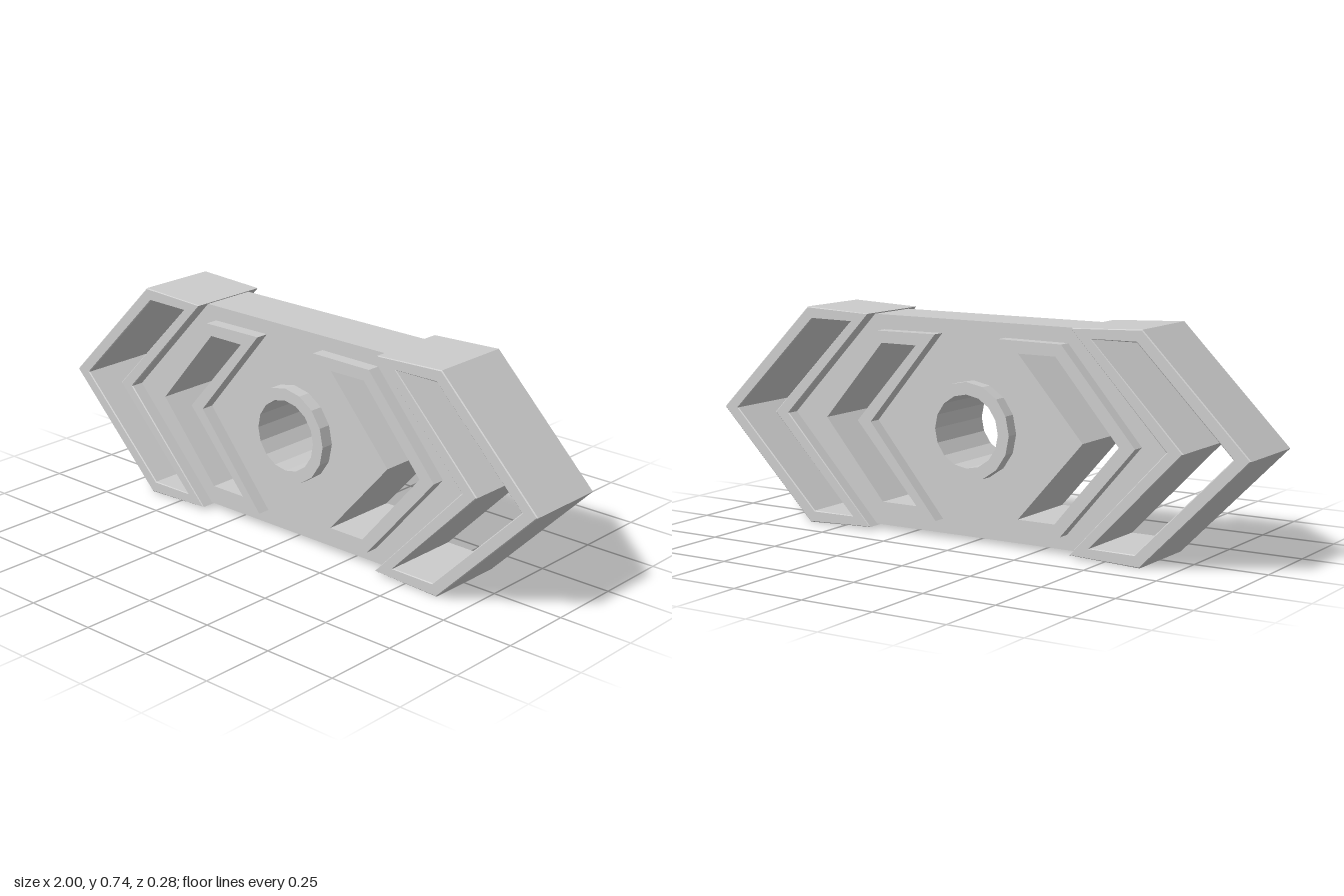
import * as THREE from 'three';

const MID = 0.3675; // height of the horizontal symmetry line
const material = new THREE.MeshStandardMaterial({ color: 0xcccccc, flatShading: true });

// Points are [x, height above the mid line]
const circle = (r, sides = 16) =>
  Array.from({ length: sides }, (_, i) => {
    const a = (i / sides) * Math.PI * 2;
    return [r * Math.cos(a), r * Math.sin(a)];
  });

// Closed chevron outline: inner and outer upper corners, outer tip, mirrored lower corners, inner tip
function chevron(inner, outer, outerTip, innerTip, side) {
  const pts = [inner, outer, [outerTip, 0], [outer[0], -outer[1]], [inner[0], -inner[1]], [innerTip, 0]];
  return pts.map(([x, y]) => [x * side, y]);
}

// Counter-clockwise points, so that every extruded wall faces outward
function loop(pts) {
  const points = pts.map(([x, y]) => new THREE.Vector2(x, y));
  return THREE.ShapeUtils.isClockWise(points) ? points.reverse() : points;
}

// Plate with openings, extruded equally to the front and the back
function slab(name, outline, holes, halfDepth, bevel = 0) {
  const shape = new THREE.Shape(loop(outline));
  shape.holes = holes.map((h) => new THREE.Path(loop(h).reverse()));
  const geometry = new THREE.ExtrudeGeometry(shape, {
    depth: 2 * (halfDepth - bevel),
    bevelEnabled: bevel > 0,
    bevelThickness: bevel,
    bevelSize: bevel,
    bevelOffset: -bevel,
    bevelSegments: 1,
  });
  geometry.translate(0, MID, -(halfDepth - bevel));
  const mesh = new THREE.Mesh(geometry, material);
  mesh.name = name;
  return mesh;
}

export function createModel() {
  const model = new THREE.Group();
  model.name = 'chevronSpinner';

  // Thin centre plate; its openings end inside the raised rims
  const right = [[0.4, 0.353], [0.75, 0], [0.4, -0.353]];
  const plateOutline = [...right, ...right.map(([x, y]) => [-x, -y])];
  const plateHoles = [1, -1].map((s) => chevron([0.16, 0.287], [0.34, 0.285], 0.585, 0.404, s));
  model.add(slab('centrePlate', plateOutline, [...plateHoles, circle(0.14)], 0.095));

  // Raised ring around the centre bore
  model.add(slab('boreRing', circle(0.161), [circle(0.12)], 0.139));

  for (const s of [1, -1]) {
    const label = s > 0 ? 'left' : 'right';
    // Raised rim around the inner chevron window
    model.add(slab(
      label + 'InnerRim',
      chevron([0.12, 0.306], [0.35, 0.304], 0.613, 0.377, s),
      [chevron([0.195, 0.265], [0.33, 0.265], 0.557, 0.43, s)],
      0.139,
    ));
    // Full-depth frame at the end, with a fine edge chamfer
    model.add(slab(
      label + 'EndFrame',
      chevron([0.383, 0.357], [0.633, 0.3675], 1, 0.72, s),
      [chevron([0.457, 0.327], [0.615, 0.327], 0.942, 0.777, s)],
      0.14,
      0.003,
    ));
  }
  return model;
}
